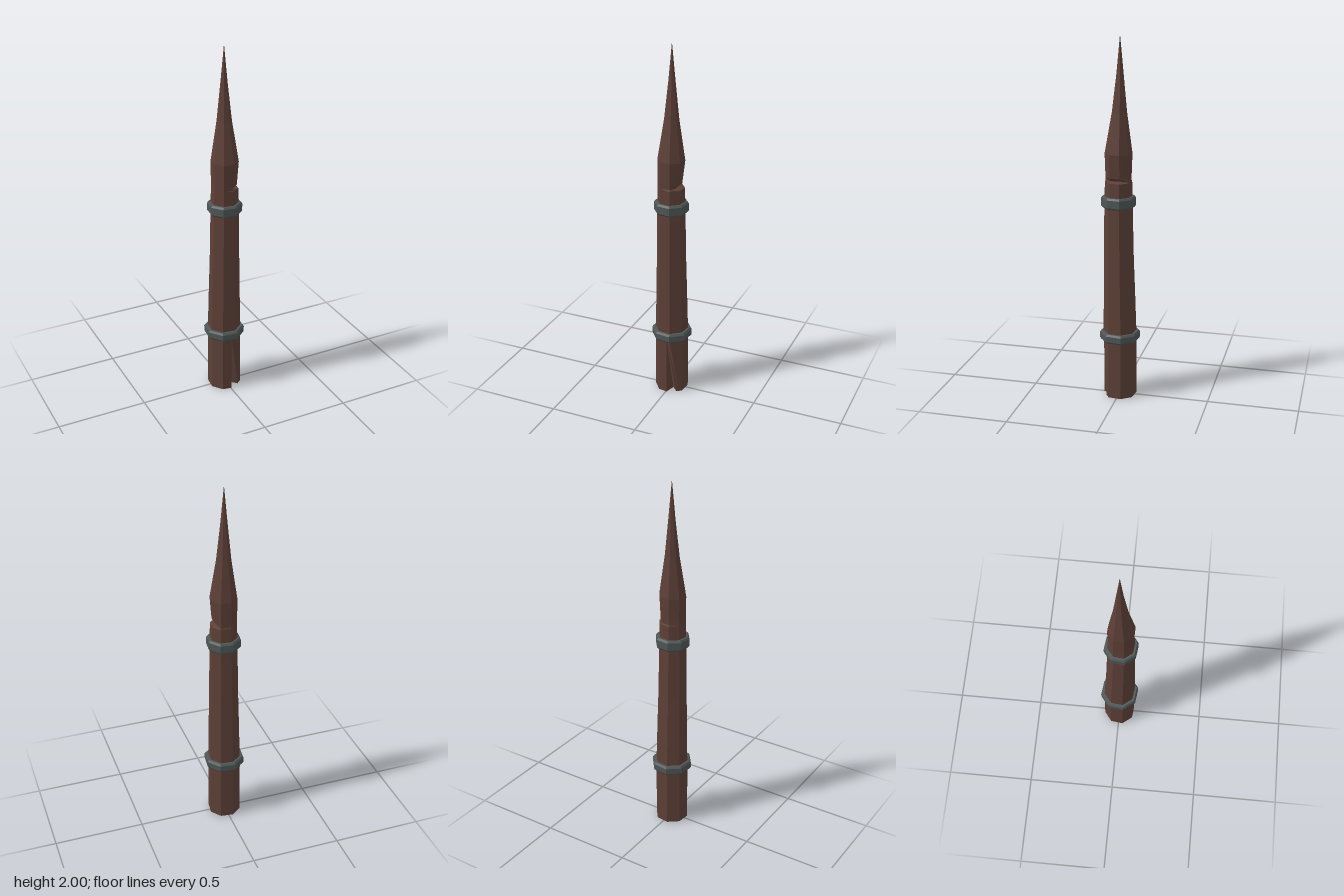
import * as THREE from 'three';

const SIDES = 8;
const TURN = THREE.MathUtils.degToRad(29.5);

// One octagonal cross-section: radius, height and centre offset in z
function octagon(r, y, cz = 0) {
  return Array.from({ length: SIDES }, (_, i) => {
    const a = TURN + (i * Math.PI * 2) / SIDES;
    return new THREE.Vector3(Math.cos(a) * r, y, Math.sin(a) * r + cz);
  });
}

// Faceted skin through cross-sections listed from bottom to top
function loft(rows, capBottom = false) {
  const points = [];
  for (let k = 0; k < rows.length - 1; k++) {
    const b = rows[k], t = rows[k + 1];
    for (let i = 0; i < b.length; i++) {
      const j = (i + 1) % b.length;
      points.push(b[i], t[i], t[j], b[i], t[j], b[j]);
    }
  }
  if (capBottom) {
    const outline = rows[0].map((p) => new THREE.Vector2(p.x, p.z));
    for (const tri of THREE.ShapeUtils.triangulateShape(outline, [])) {
      points.push(...tri.map((i) => rows[0][i]));
    }
  }
  const geometry = new THREE.BufferGeometry().setFromPoints(points);
  geometry.computeVertexNormals();
  return geometry;
}

// Limits how far a cross-section reaches towards +x
function notch(section, limit) {
  for (const p of section) {
    if (p.x > -0.03) p.z = 0.008 + (p.z - 0.008) * 0.95;
    p.x = Math.min(p.x, limit);
  }
  return section;
}

export function createModel() {
  const wood = new THREE.MeshStandardMaterial({ color: 0x5d4037 });
  wood.name = 'brown wood';
  const iron = new THREE.MeshStandardMaterial({ color: 0x4e5655 });
  iron.name = 'grey iron';

  const group = new THREE.Group();
  group.name = 'woodenStake';
  const add = (name, geometry, material) => {
    const mesh = new THREE.Mesh(geometry, material);
    mesh.name = name;
    group.add(mesh);
  };

  // Split foot: a wedge-shaped crack widens towards the ground
  const at = (x, y, z) => new THREE.Vector3(x, y, z);
  const foot = octagon(0.092, 0);
  const neck = octagon(0.092, 0.335);
  foot.splice(1, 1, at(0.065, 0, 0.056), at(0.055, 0, 0.064), at(0.022, 0, 0.03), at(0.005, 0, 0.088));
  neck.splice(2, 0, at(0.005, 0.335, 0.087), at(0.005, 0.335, 0.0865), at(0.004, 0.335, 0.087));
  add('splitFoot', loft([foot, neck], true), wood);

  // Tapering shaft up to the ledge of the notch
  const shaft = [
    [0.092, 0.335, 0], [0.091, 0.38, 0], [0.086, 0.6, 0.003], [0.081, 0.8, 0.006],
    [0.077, 1.05, 0.008], [0.075, 1.15, 0.008], [0.073, 1.226, 0.008],
  ].map((s) => octagon(...s));
  add('shaft', loft(shaft), wood);

  // Carved notch and sharpened point
  const point = [
    octagon(0.073, 1.226, 0.008),
    notch(octagon(0.073, 1.234, 0.008), 0.036),
    notch(octagon(0.073, 1.25, 0.008), 0.055),
    octagon(0.074, 1.38, 0.008),
    octagon(0.04, 1.6, 0.003),
    octagon(0.019, 1.8, 0),
    octagon(0.0005, 2, 0),
  ];
  add('sharpenedPoint', loft(point), wood);

  // Iron bands with bevelled rims
  const band = (name, r, inner, y0, y1, cz) => add(name, loft([
    octagon(inner, y0, cz), octagon(r - 0.008, y0, cz), octagon(r, y0 + 0.01, cz),
    octagon(r, y1 - 0.01, cz), octagon(r - 0.008, y1, cz), octagon(inner, y1, cz),
  ]), iron);
  band('lowerBand', 0.112, 0.085, 0.328, 0.38, 0);
  band('upperBand', 0.094, 0.07, 1.086, 1.148, 0.008);

  return group;
}
